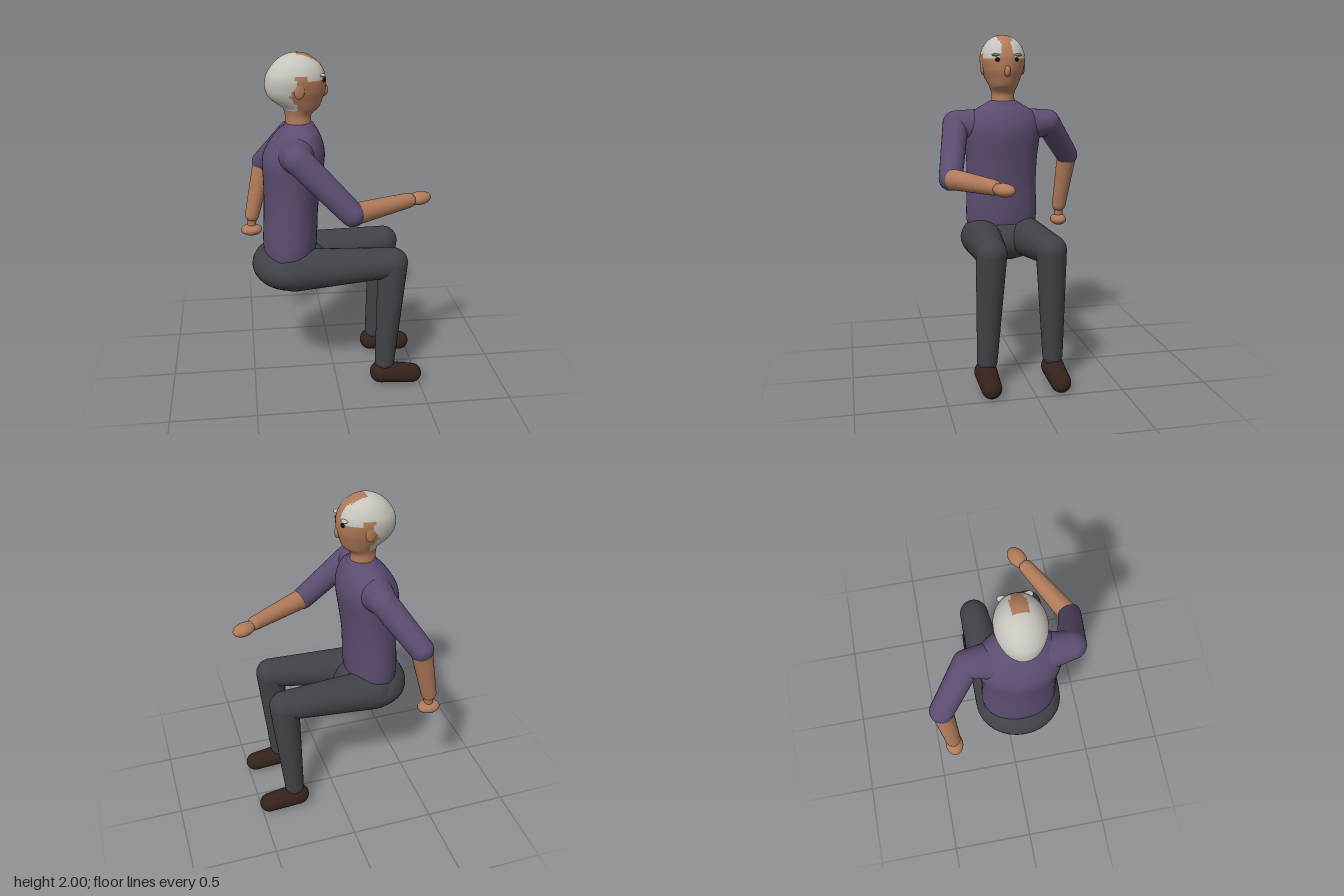
import * as THREE from 'three';

const mat = (color) => new THREE.MeshStandardMaterial({ color, roughness: 0.85 });
const V = (p) => new THREE.Vector3(p[0], p[1], p[2]);
const MID = 0.05; // z of the body's symmetry plane

function add(parent, name, geometry, material) {
  const mesh = new THREE.Mesh(geometry, material);
  mesh.name = name;
  parent.add(mesh);
  return mesh;
}

// Tapered capsule between two joints given as [x, y, z, radius]
function limb(parent, name, a, b, material) {
  const A = V(a), dir = V(b).sub(A), len = dir.length();
  const tilt = Math.asin((a[3] - b[3]) / len);
  const pts = [], n = 10;
  for (let i = 0; i <= n; i++) {
    const t = THREE.MathUtils.lerp(-Math.PI / 2, tilt, i / n);
    pts.push(new THREE.Vector2(Math.max(0, a[3] * Math.cos(t)), a[3] * Math.sin(t)));
  }
  for (let i = 0; i <= n; i++) {
    const t = THREE.MathUtils.lerp(tilt, Math.PI / 2, i / n);
    pts.push(new THREE.Vector2(Math.max(0, b[3] * Math.cos(t)), len + b[3] * Math.sin(t)));
  }
  const mesh = add(parent, name, new THREE.LatheGeometry(pts, 28), material);
  mesh.position.copy(A);
  mesh.quaternion.setFromUnitVectors(new THREE.Vector3(0, 1, 0), dir.normalize());
  return mesh;
}

function ellipsoid(parent, name, centre, half, material, turn = 0) {
  const mesh = add(parent, name, new THREE.SphereGeometry(1, 32, 20), material);
  mesh.position.set(...centre);
  mesh.scale.set(...half);
  mesh.rotation.y = turn;
  return mesh;
}

// Smooth loft through horizontal ellipses [y, centre x, half x, half z];
// pick() sorts the faces into two geometries that share their normals
function loft(sections, rows, cols, pick = () => false) {
  const line = (f) => new THREE.CatmullRomCurve3(sections.map(f), false, 'catmullrom', 0.5);
  const centre = line((s) => new THREE.Vector3(s[1], s[0], 0));
  const size = line((s) => new THREE.Vector3(s[2], 0, s[3]));
  const pos = [], all = [], parts = [[], []];
  for (let i = 0; i <= rows; i++) {
    const c = centre.getPoint(i / rows), r = size.getPoint(i / rows);
    for (let j = 0; j < cols; j++) {
      const a = (j / cols) * Math.PI * 2;
      pos.push(c.x + r.x * Math.cos(a), c.y, MID + r.z * Math.sin(a));
    }
  }
  for (let i = 0; i < rows; i++) for (let j = 0; j < cols; j++) {
    const k = (j + 1) % cols, a = i * cols + j, b = a + cols, c = i * cols + k, d = c + cols;
    const mid = [0, 1, 2].map((n) => (pos[a * 3 + n] + pos[d * 3 + n]) / 2);
    const quad = [a, b, c, c, b, d];
    all.push(...quad);
    parts[pick(...mid) ? 1 : 0].push(...quad);
  }
  const whole = new THREE.BufferGeometry();
  whole.setAttribute('position', new THREE.Float32BufferAttribute(pos, 3));
  whole.setIndex(all);
  whole.computeVertexNormals();
  return parts.map((index) => whole.clone().setIndex(index));
}

export function createModel() {
  const model = new THREE.Group();
  model.name = 'seatedMan';
  const group = (name) => {
    const g = new THREE.Group();
    g.name = name;
    model.add(g);
    return g;
  };
  const skin = mat(0xb07a59), shirt = mat(0x5c4d70), trousers = mat(0x414247);
  const shoe = mat(0x35221b), hair = mat(0xc6c4bc), black = mat(0x14110f);

  // Shirt body
  const torso = loft([
    [0.76, -0.27, 0.13, 0.19], [0.88, -0.265, 0.156, 0.22], [1.1, -0.255, 0.157, 0.216],
    [1.25, -0.245, 0.165, 0.22], [1.4, -0.235, 0.177, 0.235], [1.48, -0.222, 0.16, 0.225],
    [1.55, -0.208, 0.122, 0.18], [1.59, -0.2, 0.09, 0.115], [1.612, -0.2, 0.073, 0.075],
    [1.615, -0.2, 0, 0],
  ], 60, 48)[0];
  add(model, 'shirtBody', torso, shirt);

  // Head and neck, with hair leaving a bald strip and the ear area free
  const isHair = (x, y, z) => {
    const side = Math.abs(z - MID);
    if (x > -0.21 && side < (x > -0.12 ? 0.03 : 0.043)) return false;
    if (y > 1.885) return true;
    if (x > -0.165 && y > 1.865 && side > 0.05) return true;
    return y > 1.69 && x < -0.232 + 0.02 * Math.sin(y * 45);
  };
  const [face, cap] = loft([
    [1.57, -0.2, 0.074, 0.074], [1.64, -0.205, 0.072, 0.069], [1.67, -0.2, 0.08, 0.073],
    [1.7, -0.19, 0.104, 0.085], [1.75, -0.212, 0.147, 0.108], [1.8, -0.217, 0.167, 0.126],
    [1.87, -0.215, 0.165, 0.135], [1.93, -0.21, 0.135, 0.115], [1.97, -0.21, 0.092, 0.082],
    [1.992, -0.208, 0.048, 0.043], [2.0, -0.207, 0, 0],
  ], 70, 72, isHair);
  const head = group('head');
  add(head, 'faceAndNeck', face, skin);
  add(head, 'hair', cap, hair);
  ellipsoid(head, 'nose', [-0.058, 1.79, MID], [0.022, 0.034, 0.018], skin);
  for (const s of [-1, 1]) {
    ellipsoid(head, 'eye', [-0.072, 1.855, MID + s * 0.053], [0.016, 0.015, 0.017], black);
    ellipsoid(head, 'eyebrow', [-0.076, 1.882, MID + s * 0.062], [0.02, 0.009, 0.03], hair, s * 0.35);
    ellipsoid(head, 'ear', [-0.205, 1.815, MID + s * 0.122], [0.03, 0.05, 0.014], skin);
  }

  // Arms: shoulder, elbow and wrist joints, then the hand
  const arms = [
    { name: 'rightArm', side: 1, shoulder: [-0.23, 1.475, 0.335, 0.078], elbow: [0.055, 1.183, 0.408, 0.068],
      wrist: [0.4, 1.182, 0.222, 0.043], palm: [0.475, 1.178, 0.18], half: [0.075, 0.037, 0.05], turn: 0.48 },
    { name: 'leftArm', side: -1, shoulder: [-0.23, 1.475, -0.235, 0.078], elbow: [-0.395, 1.248, -0.41, 0.069],
      wrist: [-0.476, 0.905, -0.382, 0.045], palm: [-0.483, 0.805, -0.38], half: [0.067, 0.037, 0.052], turn: 0 },
  ];
  for (const a of arms) {
    const arm = group(a.name);
    limb(arm, 'shoulder', [-0.23, 1.455, MID + a.side * 0.12, 0.108], a.shoulder, shirt);
    limb(arm, 'sleeve', a.shoulder, a.elbow, shirt);
    limb(arm, 'forearm', [...a.elbow.slice(0, 3), 0.062], a.wrist, skin);
    limb(arm, 'wrist', [...a.wrist.slice(0, 3), 0.032], [...a.palm, 0.024], skin);
    ellipsoid(arm, 'hand', a.palm, a.half, skin, a.turn);
  }

  // Seat of the trousers
  ellipsoid(model, 'seat', [-0.265, 0.758, MID], [0.225, 0.143, 0.258], trousers);

  // Legs and shoes
  for (const s of [-1, 1]) {
    const leg = group(s > 0 ? 'rightLeg' : 'leftLeg');
    const hip = [-0.25, 0.765, MID + s * 0.133, 0.125];
    const knee = [0.323, 0.8, MID + s * 0.171, 0.088];
    const ankle = [0.285, 0.16, MID + s * 0.193, 0.059];
    const foot = MID + s * 0.199;
    limb(leg, 'thigh', hip, knee, trousers);
    limb(leg, 'shin', knee, ankle, trousers);
    limb(leg, 'shoe', [0.262, 0.083, foot, 0.066], [0.455, 0.061, foot, 0.058], shoe);
    ellipsoid(leg, 'shoeCollar', [0.28, 0.1, foot], [0.066, 0.045, 0.062], shoe);
  }
  return model;
}
